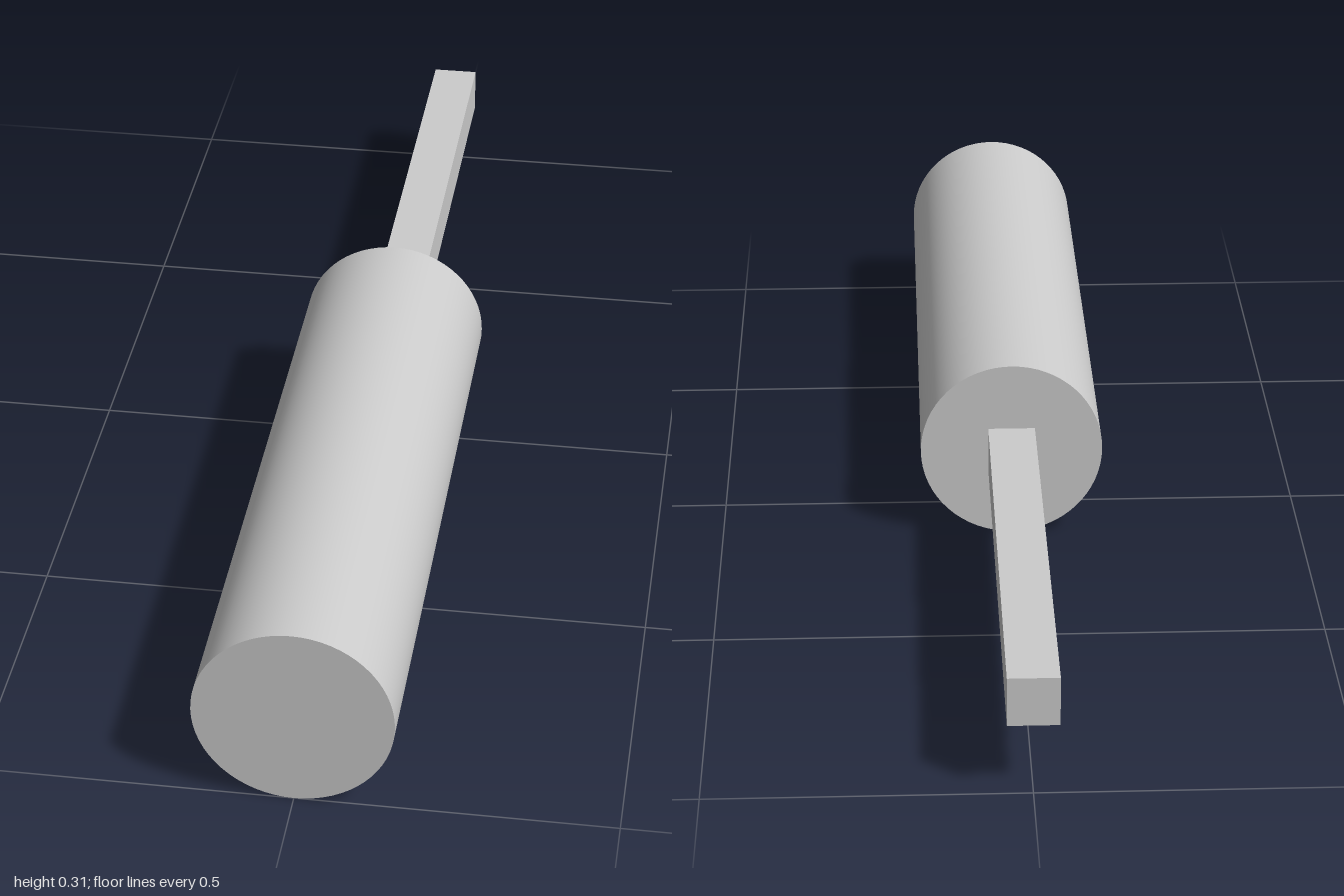
import * as THREE from 'three';

export function createModel() {
  const group = new THREE.Group();
  const material = new THREE.MeshStandardMaterial({ color: 0xcccccc });
  const radius = 0.156, shoulderZ = -0.12, shaftWidth = 0.08;

  // Adds a part centred on the long axis, between two z positions
  const addPart = (name, geometry, backZ, frontZ) => {
    const mesh = new THREE.Mesh(geometry, material);
    mesh.name = name;
    mesh.position.set(0, radius, (backZ + frontZ) / 2);
    group.add(mesh);
  };

  // Round body lying along z
  const body = new THREE.CylinderGeometry(radius, radius, 1 - shoulderZ, 64);
  body.rotateX(Math.PI / 2);
  addPart('body', body, shoulderZ, 1);

  // Square shaft out of the back of the body
  const shaft = new THREE.BoxGeometry(shaftWidth, shaftWidth, 1 + shoulderZ);
  addPart('shaft', shaft, -1, shoulderZ);

  return group;
}
